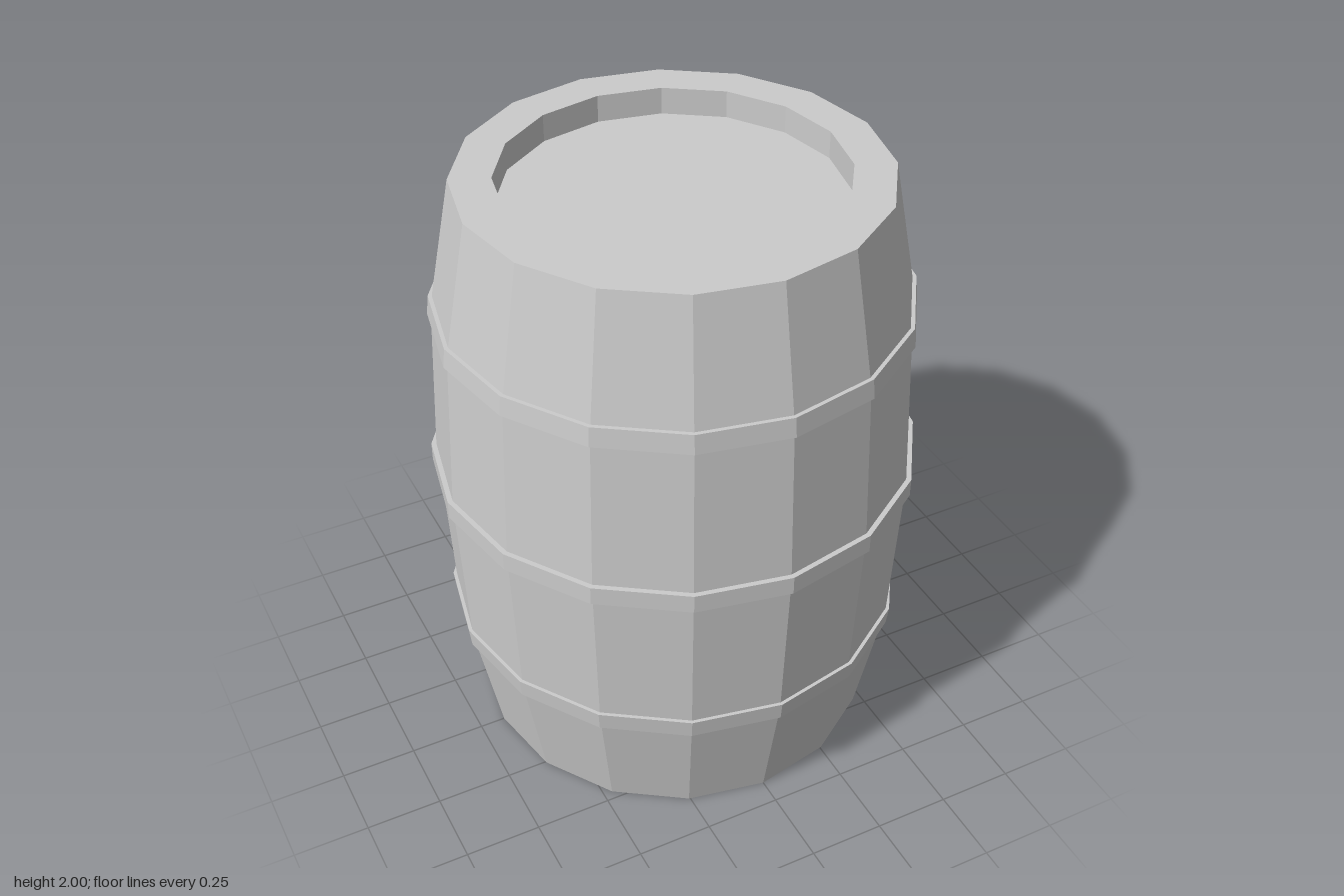
import * as THREE from 'three';

const SIDES = 16;

export function createModel() {
  const group = new THREE.Group();
  group.name = 'barrel';
  const material = new THREE.MeshStandardMaterial({ color: 0xcccccc, flatShading: true });

  // Faceted ring of revolution; profile is [radius, height], outside running upward
  const addLathe = (name, profile) => {
    const points = profile.map(([r, y]) => new THREE.Vector2(r, y));
    const mesh = new THREE.Mesh(new THREE.LatheGeometry(points, SIDES), material);
    mesh.name = name;
    group.add(mesh);
  };

  // Staves and rims, with the rim walls dropping to the recessed heads
  const lidY = 1.91, baseY = 0.055, rim = 0.535;
  addLathe('staves', [
    [rim, baseY], [rim, 0], [0.665, 0],
    [0.748, 0.435], [0.775, 1], [0.748, 1.565],
    [0.665, 2], [rim, 2], [rim, lidY],
  ]);

  // Flat heads closing both ends
  for (const [name, y, turn] of [['topHead', lidY, -1], ['bottomHead', baseY, 1]]) {
    const head = new THREE.Mesh(new THREE.CircleGeometry(rim, SIDES), material);
    head.name = name;
    head.rotation.x = turn * Math.PI / 2;
    head.position.y = y;
    group.add(head);
  }

  // Hoops: [name, bottom y, bottom radius, top y, top radius]
  const hoops = [
    ['lowerHoop', 0.4, 0.754, 0.465, 0.761],
    ['middleHoop', 0.967, 0.79, 1.03, 0.79],
    ['upperHoop', 1.535, 0.761, 1.6, 0.754],
  ];
  for (const [name, y0, r0, y1, r1] of hoops) {
    const inner = 0.03;
    addLathe(name, [[r0 - inner, y0], [r0, y0], [r1, y1], [r1 - inner, y1]]);
  }

  return group;
}
